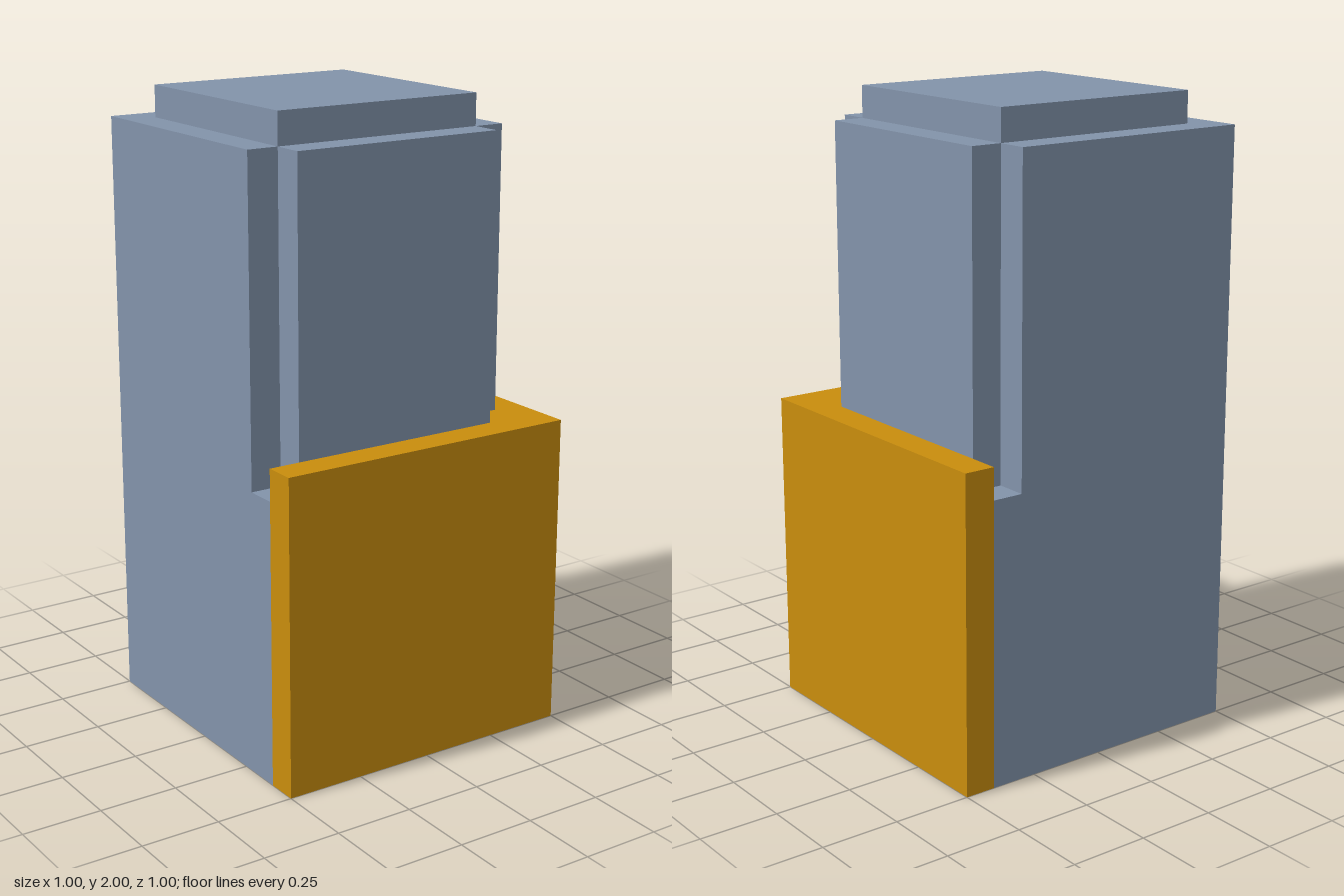
import * as THREE from 'three';

const slate = new THREE.MeshStandardMaterial({ color: 0x8293aa });
slate.name = 'slate';
const gold = new THREE.MeshStandardMaterial({ color: 0xc98d0d });
gold.name = 'gold';

// Extrudes a plan outline of [x, z] points upward from y0 to y1.
function prism(name, material, plan, y0, y1) {
  const shape = new THREE.Shape(plan.map(([x, z]) => new THREE.Vector2(x, -z)));
  const geometry = new THREE.ExtrudeGeometry(shape, { depth: y1 - y0, bevelEnabled: false });
  geometry.rotateX(-Math.PI / 2).translate(0, y0, 0);
  const mesh = new THREE.Mesh(geometry, material);
  mesh.name = name;
  return mesh;
}

// Square plan running from a to b along both x and z.
const square = (a, b) => [[a, b], [b, b], [b, a], [a, a]];

export function createModel() {
  const model = new THREE.Group();
  model.name = 'steppedBlock';

  // Solid foot, whose top shows in the notches beside the raised panels
  model.add(prism('base', slate, square(-0.5, 0.4), 0, 0.9));

  // Tower with one raised panel on the front and one on the +x side
  const tower = [
    [-0.5, 0.3], [-0.4, 0.3], [-0.4, 0.4], [0.3, 0.4], [0.3, 0.3],
    [0.4, 0.3], [0.4, -0.4], [0.3, -0.4], [0.3, -0.5], [-0.5, -0.5],
  ];
  model.add(prism('tower', slate, tower, 0.9, 1.9));

  // Low slab on the roof
  model.add(prism('cap', slate, square(-0.4, 0.3), 1.9, 2));

  // L-shaped casing around the front and the +x side
  const casing = [[-0.5, 0.5], [0.5, 0.5], [0.5, -0.5], [0.4, -0.5], [0.4, 0.4], [-0.5, 0.4]];
  model.add(prism('casing', gold, casing, 0, 1));

  // Fill of the inner corner between the panels
  model.add(prism('cornerFill', gold, square(0.3, 0.4), 0.9, 1));

  return model;
}
